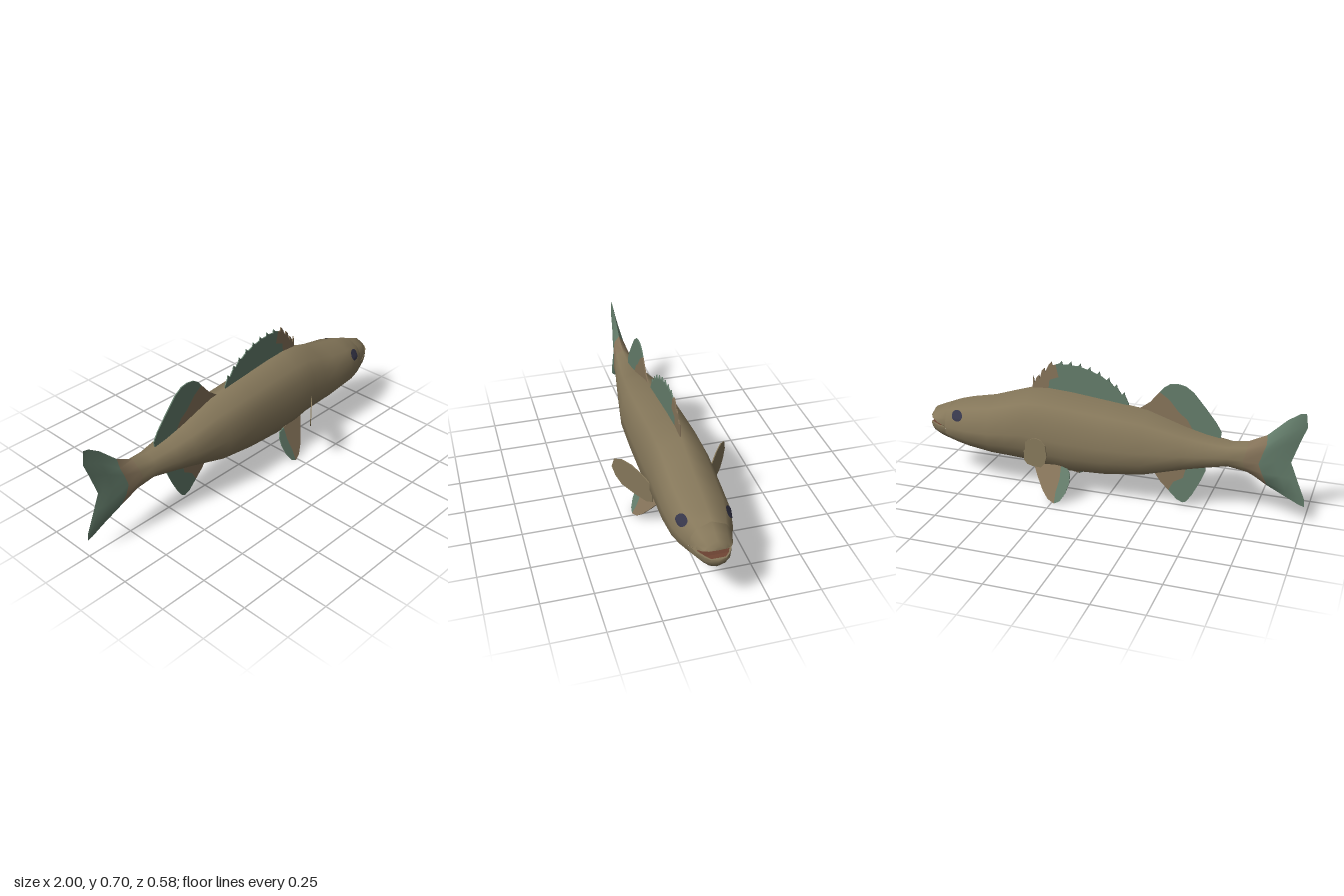
import * as THREE from 'three';
import { toCreasedNormals } from 'three/addons/utils/BufferGeometryUtils.js';

const mat = (name, color, side = THREE.FrontSide) => {
  const m = new THREE.MeshStandardMaterial({ color, side });
  m.name = name;
  return m;
};

// Half cross-section: [width fraction, height fraction], from back ridge to belly
const SECTION = [[0, 1], [0.68, 0.86], [0.91, 0.69], [1, 0.47], [0.99, 0.29], [0.62, 0.09], [0, 0]];
const LAST = SECTION.length - 1;

// Body stations: x, top, bottom, half width
const BODY = [
  [-0.62, 0.395, 0.265, 0.066], [-0.5, 0.415, 0.24, 0.088], [-0.4, 0.44, 0.215, 0.105],
  [-0.2, 0.505, 0.155, 0.138], [0, 0.528, 0.125, 0.142], [0.2, 0.55, 0.113, 0.145],
  [0.32, 0.557, 0.125, 0.148], [0.42, 0.55, 0.148, 0.148], [0.52, 0.518, 0.157, 0.148],
  [0.62, 0.485, 0.165, 0.148], [0.75, 0.458, 0.185, 0.141], [0.82, 0.438, 0.198, 0.124],
  [0.88, 0.414, 0.21, 0.1],
];

// Tail stations: distance from root to trailing edge (0..1), top, bottom, half width
const TAIL = [
  [1, 0.583, 0.095, 0.002], [0.92, 0.578, 0.105, 0.009], [0.76, 0.54, 0.135, 0.022],
  [0.5, 0.45, 0.185, 0.038], [0.25, 0.406, 0.243, 0.052],
];
const TAIL_EDGE = [-0.975, -0.985, -0.955, -0.92, -0.955, -0.995, -1];

// Closed ring of points; place(i) gives [x, y, half z] for each section point
function ring(place) {
  const pts = [];
  for (let i = 0; i <= LAST; i++) {
    const [x, y, z] = place(i);
    pts.push([x, y, z]);
  }
  for (let i = LAST - 1; i > 0; i--) {
    const [x, y, z] = place(i);
    pts.push([x, y, -z]);
  }
  return pts;
}

const bodyRing = ([x, top, bottom, w], limit = (y) => y) =>
  ring((i) => [x, limit(bottom + (top - bottom) * SECTION[i][1]), w * SECTION[i][0]]);

// Skin between rings (x increasing); bandMaterial picks a material index per band
function loft(rings, capEnd, bandMaterial) {
  const pos = [];
  const geo = new THREE.BufferGeometry();
  const n = rings[0].length;
  for (let r = 0; r < rings.length - 1; r++) {
    const start = pos.length / 3;
    for (let j = 0; j < n; j++) {
      const k = (j + 1) % n;
      const a = rings[r][j], b = rings[r][k], c = rings[r + 1][j], d = rings[r + 1][k];
      pos.push(...a, ...b, ...c, ...b, ...d, ...c);
    }
    if (bandMaterial) geo.addGroup(start, pos.length / 3 - start, bandMaterial(r));
  }
  if (capEnd) {
    const end = rings[rings.length - 1];
    const mid = [0, 1, 2].map((q) => end.reduce((s, p) => s + p[q], 0) / n);
    mid[0] += 0.005;
    for (let j = 0; j < n; j++) pos.push(...mid, ...end[j], ...end[(j + 1) % n]);
  }
  geo.setAttribute('position', new THREE.Float32BufferAttribute(pos, 3));
  return toCreasedNormals(geo, 1.25);
}

// Half width of the body surface at a given x and y
function surfaceZ(x, y) {
  let s = BODY.findIndex((b) => b[0] > x);
  if (s < 1) s = BODY.length - 1;
  const A = BODY[s - 1], B = BODY[s];
  const t = (x - A[0]) / (B[0] - A[0]);
  const [, top, bottom, w] = A.map((v, q) => v + (B[q] - v) * t);
  const h = (y - bottom) / (top - bottom);
  let i = 1;
  while (i < LAST && SECTION[i][1] > h) i++;
  const [w0, h0] = SECTION[i - 1], [w1, h1] = SECTION[i];
  return w * (w0 + ((w1 - w0) * (h - h0)) / (h1 - h0));
}

// Thin fin plate from an outline, bent sideways by zOf(x, y)
function finGeometry(outline, zOf = () => 0, thick = 0.006) {
  const shape = new THREE.Shape(outline.map(([x, y]) => new THREE.Vector2(x, y)));
  const geo = new THREE.ExtrudeGeometry(shape, { depth: thick, bevelEnabled: false });
  const p = geo.attributes.position;
  for (let i = 0; i < p.count; i++) {
    p.setZ(i, p.getZ(i) - thick / 2 + zOf(p.getX(i), p.getY(i)));
  }
  geo.computeVertexNormals();
  return geo;
}

// Adds a small backward-leaning spine at every point of a fin margin
const spiny = (pts) => pts.flatMap(([x, y]) => [[x - 0.012, y - 0.004], [x - 0.008, y + 0.016], [x + 0.006, y]]);

export function createModel() {
  const fish = new THREE.Group();
  fish.name = 'fish';
  const olive = mat('oliveSkin', 0x85775a);
  const brown = mat('finBrown', 0x86745a);
  const green = mat('finGreen', 0x647d6b);
  const dark = mat('eyeDark', 0x36364a, THREE.DoubleSide);
  const red = mat('mouthRed', 0x6e4433, THREE.DoubleSide);
  const add = (name, geo, material) => {
    const m = new THREE.Mesh(geo, material);
    m.name = name;
    fish.add(m);
  };

  // Body and tail in one skin: green tail edge, brown tail root, olive body
  const tailRings = TAIL.map(([s, top, bottom, w]) => ring((i) => [
    -0.62 + s * (TAIL_EDGE[i] + 0.62),
    bottom + (top - bottom) * SECTION[i][1],
    w * SECTION[i][0],
  ]));
  const rings = [...tailRings, ...BODY.map((b) => bodyRing(b))];
  add('bodyAndTail', loft(rings, false, (r) => (r < 3 ? 0 : r < 4 ? 1 : 2)), [green, brown, olive]);

  // Jaws: body sections cut off at the mouth line (last value)
  const upper = [
    [0.88, 0.414, 0.21, 0.1, 0.303], [0.93, 0.394, 0.22, 0.086, 0.318],
    [0.97, 0.376, 0.24, 0.064, 0.333], [0.985, 0.36, 0.26, 0.042, 0.34],
  ];
  const lower = [
    [0.88, 0.414, 0.21, 0.1, 0.303], [0.93, 0.394, 0.222, 0.08, 0.297],
    [0.975, 0.376, 0.24, 0.058, 0.303], [0.993, 0.36, 0.262, 0.036, 0.298],
  ];
  add('upperJaw', loft(upper.map((k) => bodyRing(k, (y) => Math.max(y, k[4]))), true), olive);
  add('lowerJaw', loft(lower.map((k) => bodyRing(k, (y) => Math.min(y, k[4]))), true), olive);

  // Mouth lining on the palate and mouth floor
  for (const [name, jaw, off] of [['palate', upper, -0.002], ['mouthFloor', lower, 0.002]]) {
    const pos = [];
    for (let i = 0; i < 3; i++) {
      const [a, b] = [jaw[i], jaw[i + 1]].map(([x, , , w, y]) => [x - 0.004, y + off, w * 0.9]);
      const [p, q, r, s] = [[a[0], a[1], a[2]], [b[0], b[1], b[2]], [b[0], b[1], -b[2]], [a[0], a[1], -a[2]]];
      pos.push(...p, ...q, ...r, ...p, ...r, ...s);
    }
    const geo = new THREE.BufferGeometry();
    geo.setAttribute('position', new THREE.Float32BufferAttribute(pos, 3));
    geo.computeVertexNormals();
    add(name, geo, red);
  }

  // Spiny front dorsal fin
  add('frontDorsalRear', finGeometry([[-0.1, 0.49], [-0.1, 0.525],
    ...spiny([[-0.07, 0.565], [-0.03, 0.602], [0.01, 0.632], [0.06, 0.658], [0.11, 0.676],
      [0.16, 0.688], [0.21, 0.693], [0.26, 0.692]]),
    [0.285, 0.685], [0.27, 0.62], [0.32, 0.6], [0.33, 0.53]]), green);
  add('frontDorsalFront', finGeometry([[0.33, 0.53], [0.32, 0.6], [0.27, 0.62], [0.285, 0.685],
    ...spiny([[0.315, 0.682], [0.355, 0.645], [0.385, 0.605]]),
    [0.402, 0.575], [0.408, 0.61], [0.415, 0.54]]), brown);

  // Soft rear dorsal fin
  add('rearDorsalTop', finGeometry([[-0.57, 0.39], [-0.575, 0.43], [-0.55, 0.475], [-0.49, 0.55],
    [-0.43, 0.62], [-0.39, 0.648], [-0.35, 0.656], [-0.31, 0.65], [-0.28, 0.63], [-0.26, 0.605],
    [-0.31, 0.57], [-0.36, 0.51], [-0.4, 0.48], [-0.45, 0.4]]), green);
  add('rearDorsalBase', finGeometry([[-0.45, 0.4], [-0.4, 0.48], [-0.36, 0.51], [-0.31, 0.57],
    [-0.26, 0.605], [-0.21, 0.545], [-0.15, 0.5], [-0.2, 0.47]]), brown);

  // Anal fin
  add('analFinRear', finGeometry([[-0.5, 0.26], [-0.502, 0.21], [-0.475, 0.145], [-0.44, 0.075],
    [-0.41, 0.03], [-0.39, 0.022], [-0.36, 0.035], [-0.315, 0.08], [-0.34, 0.13], [-0.39, 0.16],
    [-0.41, 0.24]]), green);
  add('analFinFront', finGeometry([[-0.41, 0.24], [-0.39, 0.16], [-0.34, 0.13], [-0.315, 0.08],
    [-0.27, 0.125], [-0.245, 0.16], [-0.24, 0.19]]), brown);

  // Paired fins and eyes
  for (const [label, side] of [['left', 1], ['right', -1]]) {
    // Mirror over z; the model's head points along +x
    const pectoralZ = (x) => side * (0.14 + (0.41 - x) * 0.8);
    add(label + 'PectoralFin', finGeometry([[0.415, 0.2], [0.418, 0.29], [0.37, 0.333], [0.32, 0.365],
      [0.275, 0.374], [0.24, 0.36], [0.228, 0.31], [0.245, 0.265], [0.275, 0.228], [0.34, 0.202],
      [0.39, 0.19]], pectoralZ), olive);

    const pelvicZ = (x, y) => side * (0.087 + (0.17 - y) * 0.48 + (0.38 - x) * 0.16);
    add(label + 'PelvicFinBase', finGeometry([[0.385, 0.17], [0.35, 0.11], [0.31, 0.052], [0.275, 0.018],
      [0.235, 0.004], [0.235, 0.06], [0.222, 0.12], [0.225, 0.178], [0.3, 0.185]], pelvicZ), brown);
    add(label + 'PelvicFinTip', finGeometry([[0.235, 0.004], [0.205, 0.02], [0.18, 0.06], [0.166, 0.11],
      [0.168, 0.15], [0.185, 0.172], [0.225, 0.178], [0.222, 0.12], [0.235, 0.06]], pelvicZ), green);

    // Eye patch lying on the skin
    const eye = new THREE.RingGeometry(0.001, 1, 18, 4);
    const p = eye.attributes.position;
    for (let i = 0; i < p.count; i++) {
      const x = 0.8 + p.getX(i) * 0.035, y = 0.38 + p.getY(i) * 0.026;
      p.setXYZ(i, x, y + 0.002, side * (surfaceZ(x, y) + 0.005));
    }
    eye.computeVertexNormals();
    add(label + 'Eye', eye, dark);
  }
  return fish;
}
